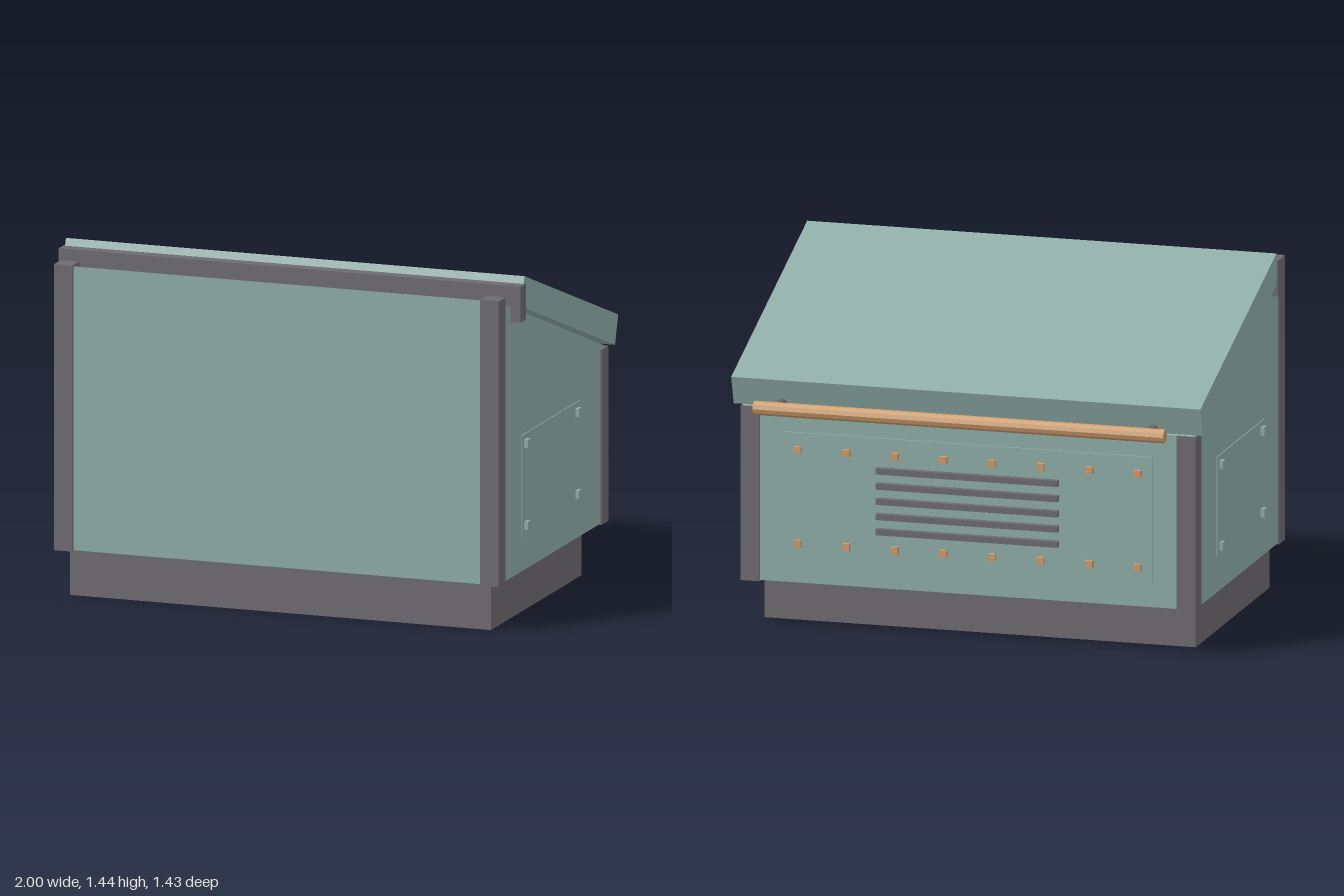
import * as THREE from 'three';

const paint = (name, color) => {
  const m = new THREE.MeshStandardMaterial({ color });
  m.name = name;
  return m;
};

export function createModel() {
  const teal = paint('teal paint', 0x8fada8);
  const iron = paint('dark iron', 0x6e6b70);
  const copper = paint('copper', 0xcd9c6c);
  const model = new THREE.Group();
  model.name = 'slopedCabinet';

  const add = (name, geometry, material, x = 0, y = 0, z = 0) => {
    const mesh = new THREE.Mesh(geometry, material);
    mesh.name = name;
    mesh.position.set(x, y, z);
    model.add(mesh);
    return mesh;
  };
  // Box given by its lower and upper corner
  const box = (name, material, [x0, y0, z0], [x1, y1, z1]) =>
    add(name, new THREE.BoxGeometry(x1 - x0, y1 - y0, z1 - z0), material,
      (x0 + x1) / 2, (y0 + y1) / 2, (z0 + z1) / 2);
  // Side outline of [z, y] points, extruded across the width
  const slab = (name, material, outline, halfWidth) => {
    const shape = new THREE.Shape(outline.map(([z, y]) => new THREE.Vector2(-z, y)));
    const g = new THREE.ExtrudeGeometry(shape, { depth: halfWidth * 2, bevelEnabled: false });
    g.translate(0, 0, -halfWidth);
    g.rotateY(Math.PI / 2);
    return add(name, g, material);
  };

  // Plinth, sloped body and overhanging lid
  box('plinth', iron, [-0.912, 0, -0.392], [0.912, 0.192, 0.667]);
  slab('body', teal, [[0.705, 0.197], [-0.557, 0.197], [-0.557, 0.922], [0.705, 1.38]], 0.957);
  slab('lid', teal, [[0.537, 1.328], [-0.563, 0.929], [-0.6, 1.048], [0.494, 1.444]], 0.993);
  box('lidFrontBar', iron, [-1, 1.264, 0.494], [1, 1.414, 0.559]);

  for (const s of [-1, 1]) {
    const side = s > 0 ? 'left' : 'right';
    // Corner posts
    for (const [end, z, top] of [['Front', 0.675, 1.384], ['Back', -0.526, 0.922]]) {
      add(side + end + 'Post', new THREE.BoxGeometry(0.081, top - 0.193, 0.081), iron,
        s * 0.923, (top + 0.193) / 2, z);
    }
    // Side access panel with four bolts
    add(side + 'SidePanel', new THREE.BoxGeometry(0.006, 0.422, 0.676), teal, s * 0.958, 0.554, 0.096);
    for (const y of [0.384, 0.725]) for (const z of [-0.202, 0.394]) {
      add(side + 'PanelBolt', new THREE.BoxGeometry(0.02, 0.034, 0.034), teal, s * 0.967, y, z);
    }
    // Rail bracket
    const bracket = new THREE.CylinderGeometry(0.02, 0.02, 0.14, 8).toNonIndexed();
    bracket.rotateX(Math.PI / 2);
    bracket.computeVertexNormals();
    add(side + 'RailBracket', bracket, iron, s * 0.785, 0.948, -0.615);
  }

  // Handrail across the back
  const rail = new THREE.CylinderGeometry(0.029, 0.029, 1.738, 10).toNonIndexed();
  rail.rotateZ(Math.PI / 2);
  rail.computeVertexNormals();
  add('handrail', rail, copper, 0, 0.948, -0.687);

  // Back panel with louvres and two rows of rivets
  box('backPanel', teal, [-0.78, 0.305, -0.564], [0.78, 0.825, -0.556]);
  for (let i = 0; i < 5; i++) {
    add('louvre', new THREE.BoxGeometry(0.77, 0.025, 0.035), iron, 0, 0.438 + i * 0.0635, -0.573);
  }
  for (const y of [0.363, 0.755]) for (let i = 0; i < 8; i++) {
    add('rivet', new THREE.BoxGeometry(0.03, 0.03, 0.022), copper, -0.72 + i * 1.44 / 7, y, -0.572);
  }
  return model;
}
